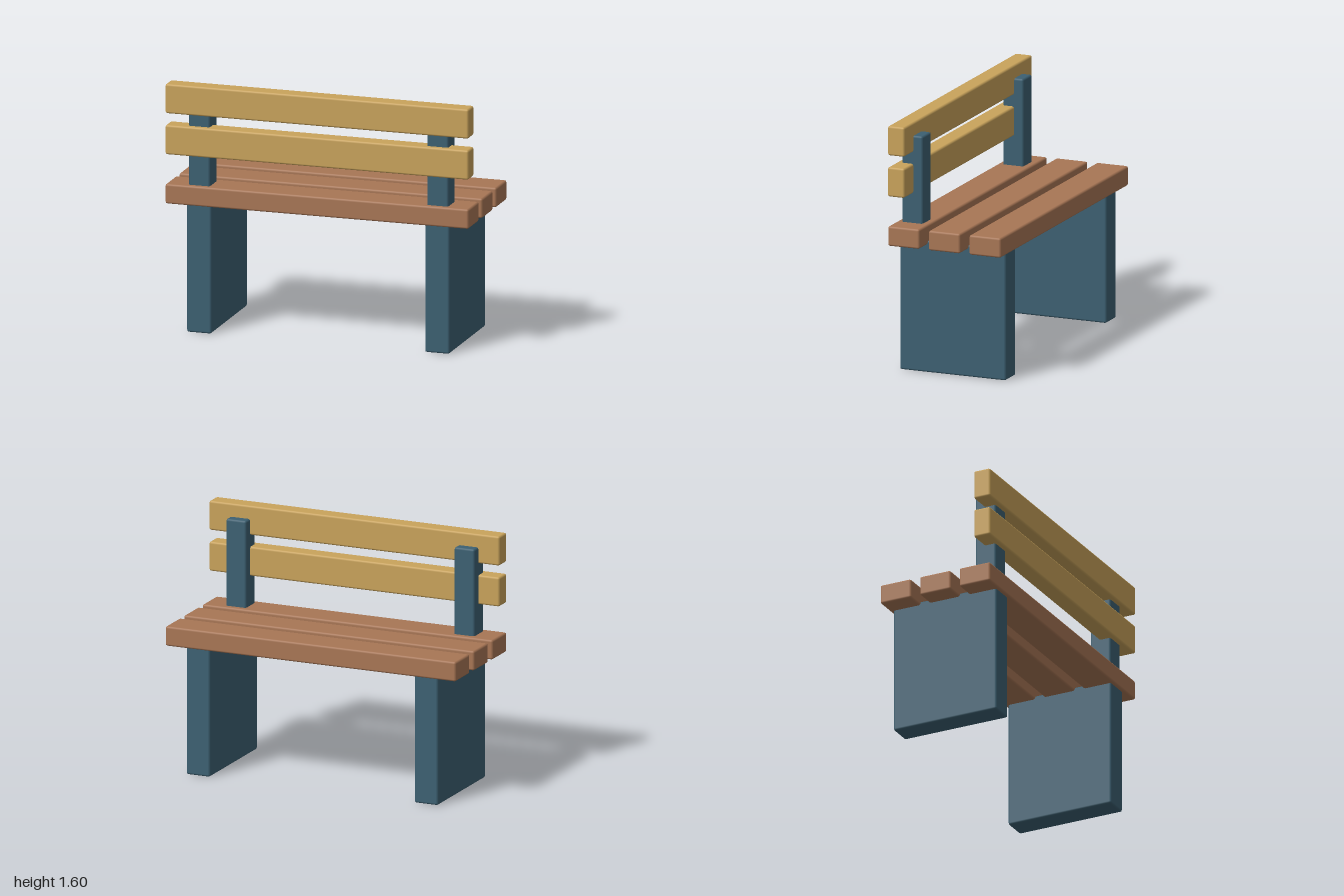
import * as THREE from 'three';
import { RoundedBoxGeometry } from 'three/addons/geometries/RoundedBoxGeometry.js';

export function createModel() {
  const bench = new THREE.Group();
  bench.name = 'bench';

  const mat = (name, color) => {
    const m = new THREE.MeshStandardMaterial({ color });
    m.name = name;
    return m;
  };
  const frame = mat('blue frame', 0x3c6072);
  const seatWood = mat('brown wood', 0xa87655);
  const backWood = mat('golden wood', 0xc9a35b);

  // Bevelled beam given by its extents on each axis
  function beam(name, material, [x0, x1], [y0, y1], [z0, z1]) {
    const geometry = new RoundedBoxGeometry(x1 - x0, y1 - y0, z1 - z0, 1, 0.013);
    const mesh = new THREE.Mesh(geometry, material);
    mesh.position.set((x0 + x1) / 2, (y0 + y1) / 2, (z0 + z1) / 2);
    mesh.name = name;
    bench.add(mesh);
  }

  // Side panels and backrest posts
  for (const [side, s] of [['left', 1], ['right', -1]]) {
    const span = (a, b) => (s > 0 ? [a, b] : [-b, -a]);
    beam(side + 'LegPanel', frame, span(0.704, 0.866), [0, 0.85], [-0.362, 0.362]);
    beam(side + 'BackPost', frame, span(0.716, 0.856), [0.84, 1.516], [0.21, 0.352]);
  }

  // Three seat planks
  [-0.278, 0, 0.278].forEach((z, i) =>
    beam('seatPlank' + (i + 1), seatWood, [-1, 1], [0.826, 0.953], [z - 0.108, z + 0.108]));

  // Two backrest slats
  [1.145, 1.411].forEach((y, i) =>
    beam('backSlat' + (i + 1), backWood, [-1, 1], [y, y + 0.19], [0.272, 0.387]));

  return bench;
}
